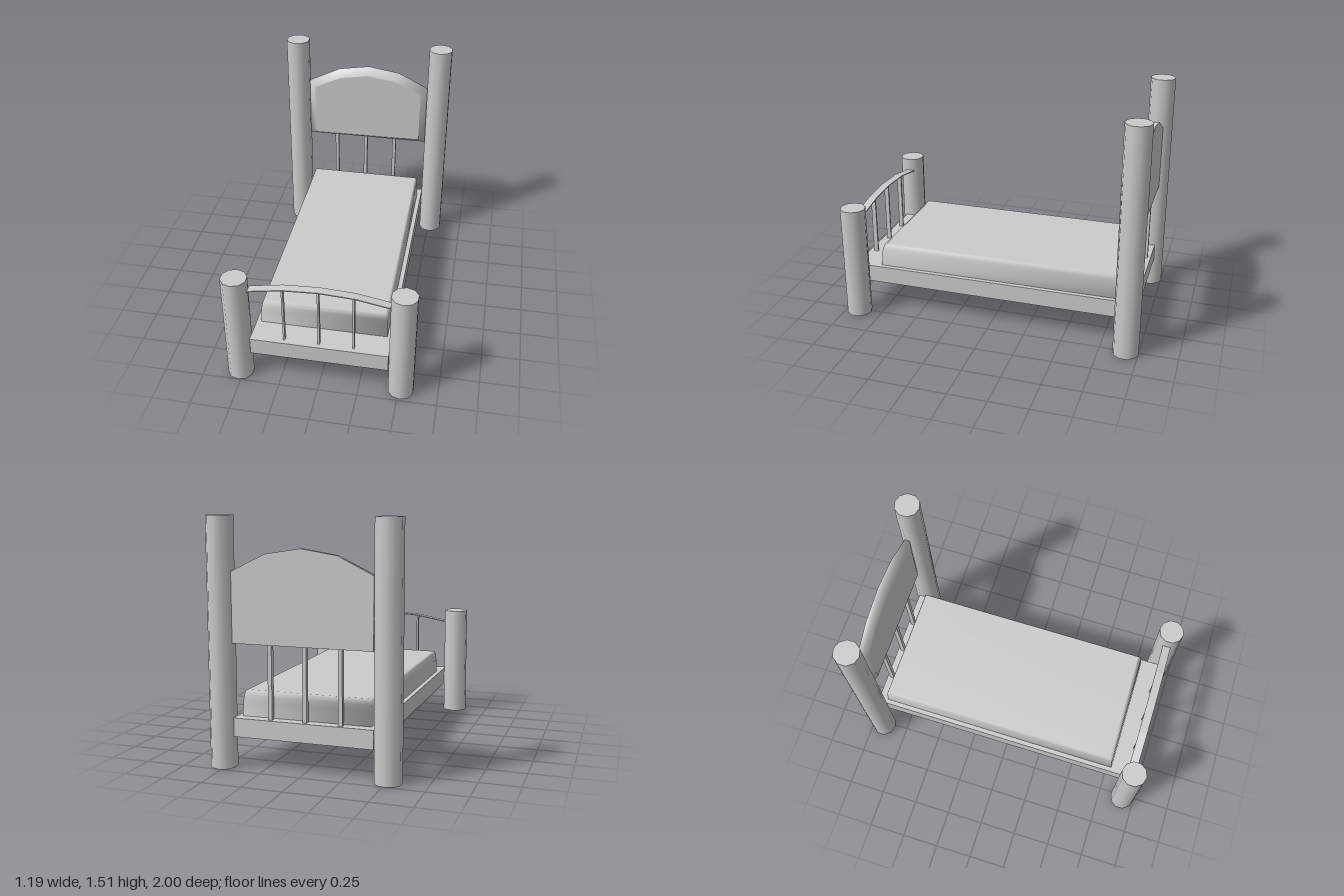
import * as THREE from 'three';
import { mergeGeometries } from 'three/addons/utils/BufferGeometryUtils.js';

const material = new THREE.MeshStandardMaterial({ color: 0xcccccc, side: THREE.DoubleSide });

function add(group, name, geometry, x = 0, y = 0, z = 0) {
  const mesh = new THREE.Mesh(geometry, material);
  mesh.name = name;
  mesh.position.set(x, y, z);
  group.add(mesh);
  return mesh;
}

// Joins closed rings of equal point count; optionally fans the last ring shut.
function loft(rings, capped) {
  const n = rings[0].length;
  const index = [];
  for (let r = 0; r < rings.length - 1; r++) {
    for (let i = 0; i < n; i++) {
      const a = r * n + i, b = r * n + (i + 1) % n;
      index.push(a, b, b + n, a, b + n, a + n);
    }
  }
  const last = (rings.length - 1) * n;
  if (capped) for (let i = 1; i < n - 1; i++) index.push(last, last + i, last + i + 1);
  const g = new THREE.BufferGeometry();
  g.setAttribute('position', new THREE.Float32BufferAttribute(rings.flat(2), 3));
  g.setIndex(index);
  g.computeVertexNormals();
  return g;
}

// Round post, smooth sides, flat top and open foot
function post(height) {
  const r = 0.083, sides = 10;
  const tube = new THREE.CylinderGeometry(r, r, height, sides, 1, true).translate(0, height / 2, 0);
  const top = new THREE.CircleGeometry(r, sides, -Math.PI / 2).rotateX(-Math.PI / 2).translate(0, height, 0);
  return mergeGeometries([tube, top]);
}

// Arched outline, counter-clockwise from the front
function arch(w, bottom, shoulder, midX, midY, peak) {
  return [[-w, bottom], [w, bottom], [w, shoulder], [midX, midY], [0, peak], [-midX, midY], [-w, shoulder]];
}

function shapeOf(points) {
  return new THREE.Shape(points.map(([x, y]) => new THREE.Vector2(x, y)));
}

export function createModel() {
  const bed = new THREE.Group();
  bed.name = 'bed';

  // Four posts
  for (const s of [-1, 1]) {
    add(bed, 'headPost', post(1.51), s * 0.516, 0, -0.92);
    add(bed, 'footPost', post(0.76), s * 0.516, 0, s < 0 ? 0.917 : 0.905);
  }

  // Frame: four thin walls and a top ledge with an opening under the mattress
  const w = 0.435, zEnd = 0.95, low = 0.195, high = 0.31;
  for (const s of [-1, 1]) {
    add(bed, 'sideRail', new THREE.PlaneGeometry(2 * zEnd, high - low).rotateY(s * Math.PI / 2),
      s * w, (low + high) / 2, 0);
    add(bed, 'endRail', new THREE.PlaneGeometry(2 * w, high - low).rotateY(s > 0 ? 0 : Math.PI),
      0, (low + high) / 2, s * zEnd);
  }
  const ledge = shapeOf([[-w, -zEnd], [w, -zEnd], [w, zEnd], [-w, zEnd]]);
  ledge.holes.push(shapeOf([[-0.405, -0.775], [-0.405, 0.885], [0.405, 0.885], [0.405, -0.775]]));
  add(bed, 'frameLedge', new THREE.ShapeGeometry(ledge).rotateX(-Math.PI / 2), 0, high, 0);

  // Mattress: a hollow shell, rounded over towards the top
  const rings = [[0.31, 0, 0], [0.4, 0.003, 0.007], [0.435, 0.006, 0.013], [0.458, 0.012, 0.022], [0.468, 0.022, 0.038]]
    .map(([y, dx, dz]) => {
      const x = 0.405 - dx, front = 0.775 - dz, back = -0.885 + dz * 0.7;
      return [[-x, y, front], [x, y, front], [x, y, back], [-x, y, back]];
    });
  add(bed, 'mattress', loft(rings, true));

  // Headboard: flat back, bevelled border and flat front panel
  const outer = arch(w, 0.76, 1.185, 0.22, 1.29, 1.325);
  const inner = arch(0.39, 0.785, 1.155, 0.195, 1.245, 1.275);
  const at = (points, z) => points.map(([x, y]) => [x, y, z]);
  add(bed, 'headboardBorder', loft([at(outer, -0.95), at(outer, -0.915), at(inner, -0.89)], false));
  add(bed, 'headboardPanel', new THREE.ShapeGeometry(shapeOf(inner)), 0, 0, -0.89);
  add(bed, 'headboardBack', new THREE.ShapeGeometry(shapeOf(outer)).rotateY(Math.PI), 0, 0, -0.95);

  // Arched foot rail: a thin flat strip
  const topLine = [[-w, 0.678], [-0.22, 0.717], [0, 0.729], [0.22, 0.717], [w, 0.678]];
  const strip = shapeOf([...topLine, ...topLine.map(([x, y]) => [x, y - 0.007]).reverse()]);
  add(bed, 'footRail', new THREE.ExtrudeGeometry(strip, { depth: 0.055, bevelEnabled: false }), 0, 0, 0.875);

  // Slats at both ends, reaching a little below the ledge
  for (const x of [-0.22, 0, 0.217]) {
    const footTop = x === 0 ? 0.724 : 0.713;
    add(bed, 'footSlat', new THREE.BoxGeometry(0.012, footTop - 0.24, 0.03), x - 0.003, (footTop + 0.24) / 2, 0.903);
    add(bed, 'headSlat', new THREE.BoxGeometry(0.025, 0.54, 0.03), x - 0.01, 0.5, -0.915);
  }

  return bed;
}
